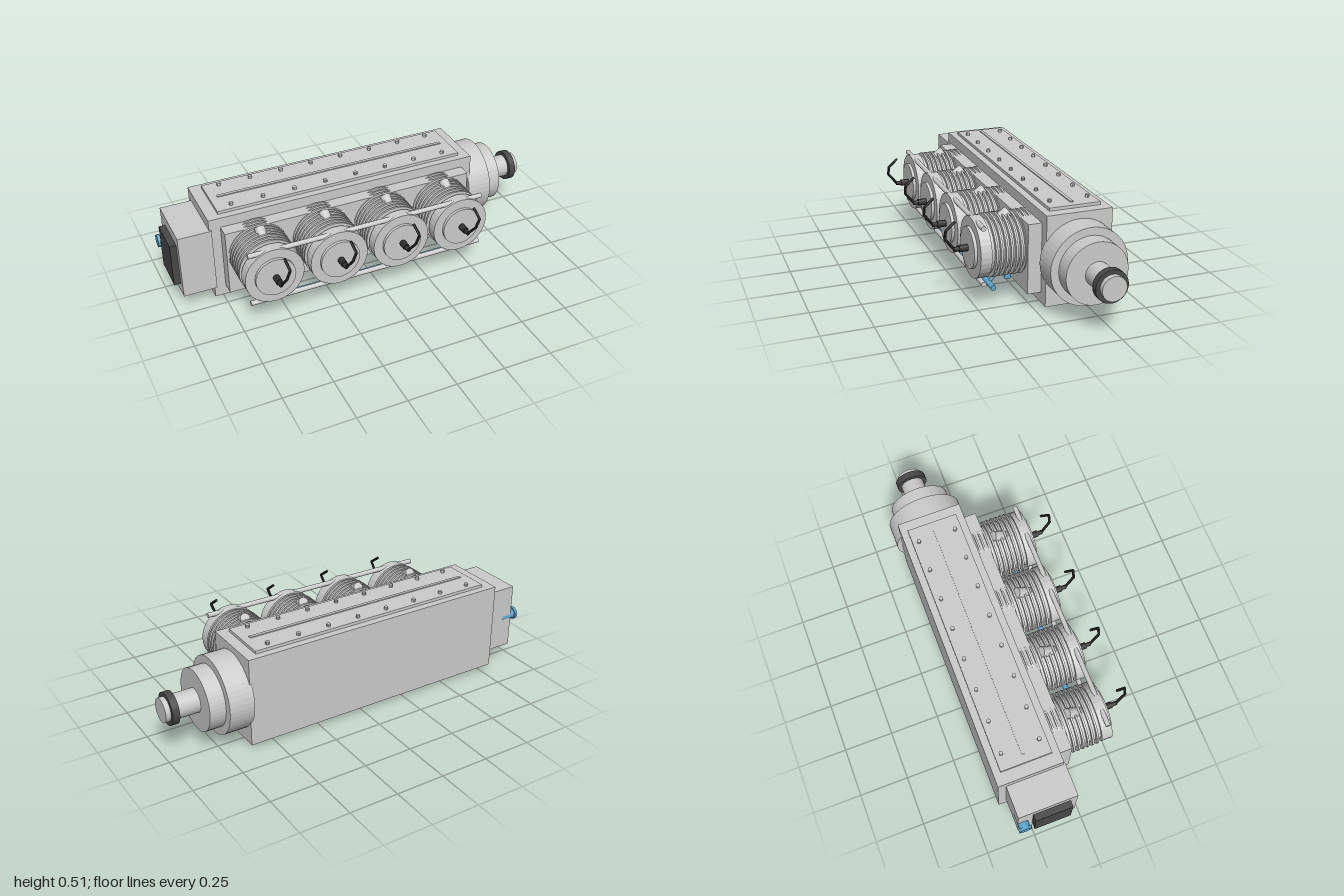
import * as THREE from 'three';

const grey = new THREE.MeshStandardMaterial({ color: 0xcccccc, flatShading: true });
const dark = new THREE.MeshStandardMaterial({ color: 0x484848, flatShading: true });
const black = new THREE.MeshStandardMaterial({ color: 0x303030, flatShading: true });
const blue = new THREE.MeshStandardMaterial({ color: 0x5fa8d0, flatShading: true });

const V = (x, y, z) => new THREE.Vector3(x, y, z);
const UP = V(0, 1, 0);

// Box given by its lower and upper limits on each axis
function box(parent, name, [x0, x1], [y0, y1], [z0, z1], mat = grey) {
  const mesh = new THREE.Mesh(new THREE.BoxGeometry(x1 - x0, y1 - y0, z1 - z0), mat);
  mesh.position.set((x0 + x1) / 2, (y0 + y1) / 2, (z0 + z1) / 2);
  mesh.name = name;
  parent.add(mesh);
}

// Round bar between two points
function rod(parent, name, a, b, r, mat = grey, sides = 32, rEnd = r) {
  const dir = b.clone().sub(a);
  const mesh = new THREE.Mesh(new THREE.CylinderGeometry(rEnd, r, dir.length(), sides), mat);
  mesh.position.copy(a).addScaledVector(dir, 0.5);
  mesh.quaternion.setFromUnitVectors(UP, dir.normalize());
  mesh.name = name;
  parent.add(mesh);
}

// Finned cylinder with head, plug, intake and exhaust; its axis lies on z
function makeCylinder() {
  const g = new THREE.Group();
  g.name = 'cylinder';
  rod(g, 'barrel', V(0, 0, -0.03), V(0, 0, 0.203), 0.133);
  for (let i = 0; i < 9; i++) {
    const z = -0.018 + i * 0.0247;
    rod(g, 'coolingFin', V(0, 0, z - 0.005), V(0, 0, z + 0.005), 0.153);
  }
  rod(g, 'head', V(0, 0, 0.202), V(0, 0, 0.257), 0.149);
  rod(g, 'headCap', V(0, 0, 0.257), V(0, 0, 0.272), 0.101);

  // plug and its bent lead
  rod(g, 'plug', V(0, 0, 0.272), V(0, 0, 0.315), 0.017, black, 12);
  rod(g, 'plugTip', V(0, 0, 0.315), V(0, 0, 0.34), 0.011, black, 12);
  const lead = [V(0, 0, 0.337), V(0.012, 0.062, 0.386), V(0.03, 0.108, 0.387), V(0.022, 0.147, 0.338)];
  for (let i = 0; i < 3; i++) rod(g, 'plugLead', lead[i], lead[i + 1], 0.007, black, 8);

  // slanted intake port above, exhaust stubs below
  rod(g, 'intakePort', V(0, 0.09, 0.165), V(0, 0.156, 0.069), 0.026, grey, 16);
  rod(g, 'exhaustStub', V(0, -0.12, 0.072), V(0, -0.187, 0.072), 0.015, blue, 16);
  rod(g, 'exhaustBranch', V(0, -0.163, 0.139), V(0, -0.195, 0.168), 0.008, blue, 12);
  return g;
}

export function createModel() {
  const engine = new THREE.Group();
  engine.name = 'engine';
  const cy = 0.258, cz = -0.2;

  // crankcase and cylinder deck
  box(engine, 'crankcase', [-0.8, 0.63], [0.03, 0.484], [-0.365, -0.035]);
  box(engine, 'cylinderDeck', [-0.743, 0.575], [0.083, 0.432], [-0.035, 0.032]);

  // bolted covers, mirrored above and below
  for (const s of [1, -1]) {
    const span = (a, b) => [cy + s * a, cy + s * b].sort((p, q) => p - q);
    const cover = new THREE.Group();
    cover.name = s > 0 ? 'topCover' : 'bottomCover';
    box(cover, 'coverPlate', [-0.74, 0.575], span(0.225, 0.241), [-0.329, -0.071]);
    box(cover, 'coverRib', [-0.7, 0.535], span(0.24, 0.246), [cz - 0.008, cz + 0.008]);
    for (let i = 0; i < 8; i++)
      for (const z of [-0.105, -0.297])
        rod(cover, 'coverBolt', V(-0.66 + i * 0.165, cy + s * 0.235, z),
          V(-0.66 + i * 0.165, cy + s * 0.255, z), 0.01, grey, 10);
    engine.add(cover);
  }

  // stepped drive end with shaft
  const turned = (name, x0, x1, r, mat) =>
    rod(engine, name, V(x0, cy, cz), V(x1, cy, cz), r, mat, 48);
  turned('driveHousing', 0.62, 0.747, 0.193);
  turned('driveHousingStep', 0.747, 0.828, 0.154);
  turned('shaft', 0.828, 1, 0.06);
  turned('shaftCollar', 0.94, 0.975, 0.08, dark);

  // accessory box at the other end
  box(engine, 'accessoryBox', [-0.96, -0.79], [0.09, 0.43], [-0.325, -0.025]);
  box(engine, 'accessoryPanel', [-0.993, -0.96], [0.145, 0.375], [-0.25, -0.06], dark);
  rod(engine, 'coolantPipe', V(-0.905, cy, -0.3), V(-0.99, cy, -0.3), 0.027, blue, 24);
  rod(engine, 'coolantPipeEnd', V(-0.985, cy, -0.3), V(-1, cy, -0.3), 0.033, blue, 24);

  // row of four cylinders
  for (let i = 0; i < 4; i++) {
    const c = makeCylinder();
    c.position.set(-0.581 + i * 0.332, 0.292, 0);
    engine.add(c);
  }

  // rails along the heads and the exhaust manifold
  for (const y of [0.425, 0.149])
    rod(engine, 'headRail', V(-0.703, y, 0.235), V(0.538, y, 0.235), 0.0125, grey, 16);
  rod(engine, 'exhaustManifold', V(-0.65, 0.097, 0.168), V(0.485, 0.097, 0.168), 0.0135, blue, 16);

  return engine;
}
